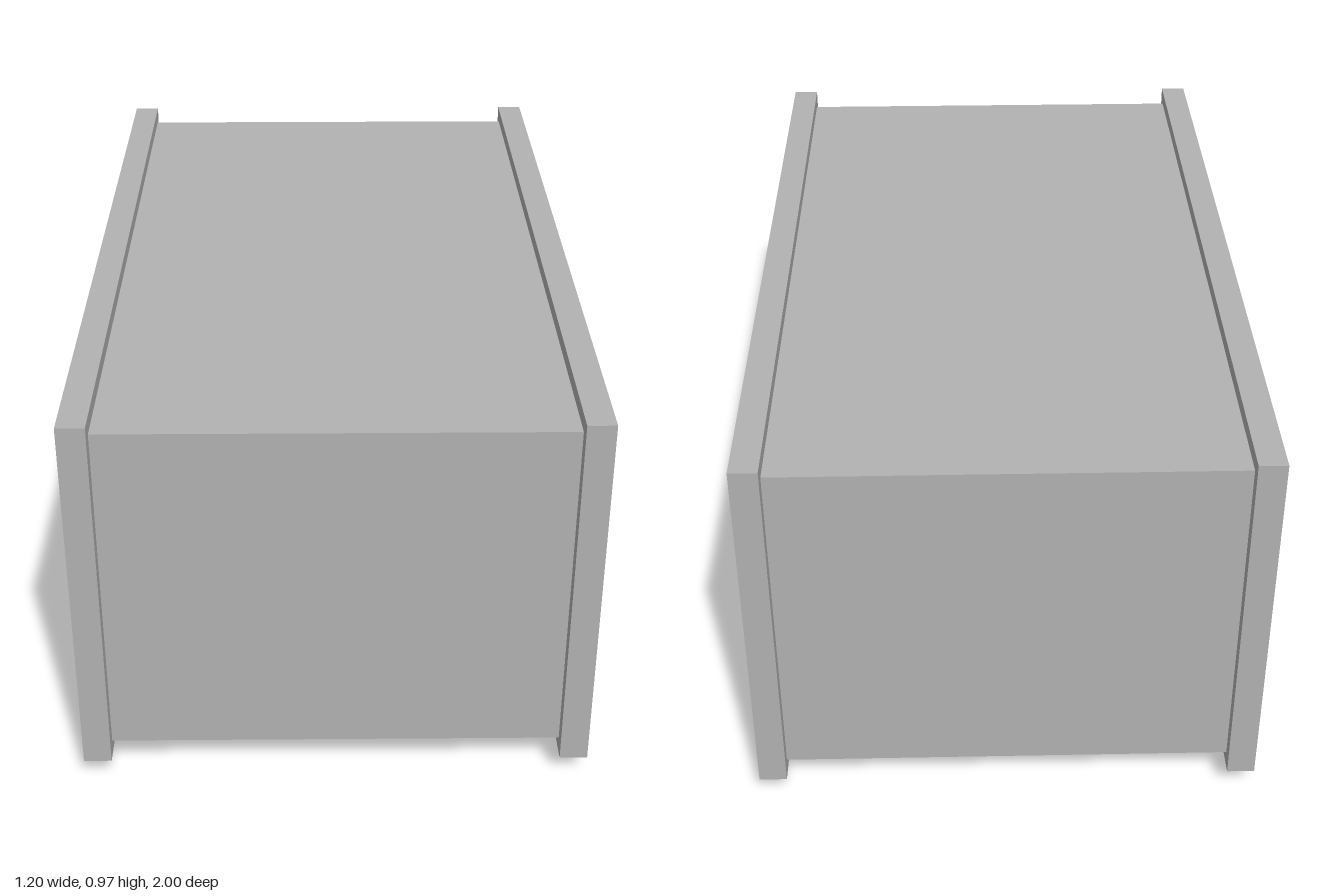
import * as THREE from 'three';

export function createModel() {
  const model = new THREE.Group();
  model.name = 'drawerCabinet';
  const grey = new THREE.MeshStandardMaterial({ color: 0xb2b2b2 });
  grey.name = 'grey';

  // Box given by its extents along each axis
  function addBox(name, [x0, x1], [y0, y1], [z0, z1]) {
    const mesh = new THREE.Mesh(new THREE.BoxGeometry(x1 - x0, y1 - y0, z1 - z0), grey);
    mesh.position.set((x0 + x1) / 2, (y0 + y1) / 2, (z0 + z1) / 2);
    mesh.name = name;
    model.add(mesh);
  }

  // Main body between two larger side panels
  addBox('body', [-0.535, 0.535], [0.088, 0.937], [-0.968, 0.966]);
  addBox('leftPanel', [0.535, 0.601], [0.055, 0.972], [-1, 1]);
  addBox('rightPanel', [-0.601, -0.535], [0.055, 0.972], [-1, 1]);

  // Row of nine slats underneath, each with a small tab
  for (let i = 0; i < 9; i++) {
    const z = -0.008 + (i - 4) * 0.182;
    addBox('slat' + (i + 1), [-0.5, 0.497], [0.033, 0.088], [z - 0.067, z + 0.067]);
    addBox('tab' + (i + 1), [0.27, 0.41], [0, 0.033], [z - 0.016, z + 0.016]);
  }
  return model;
}
